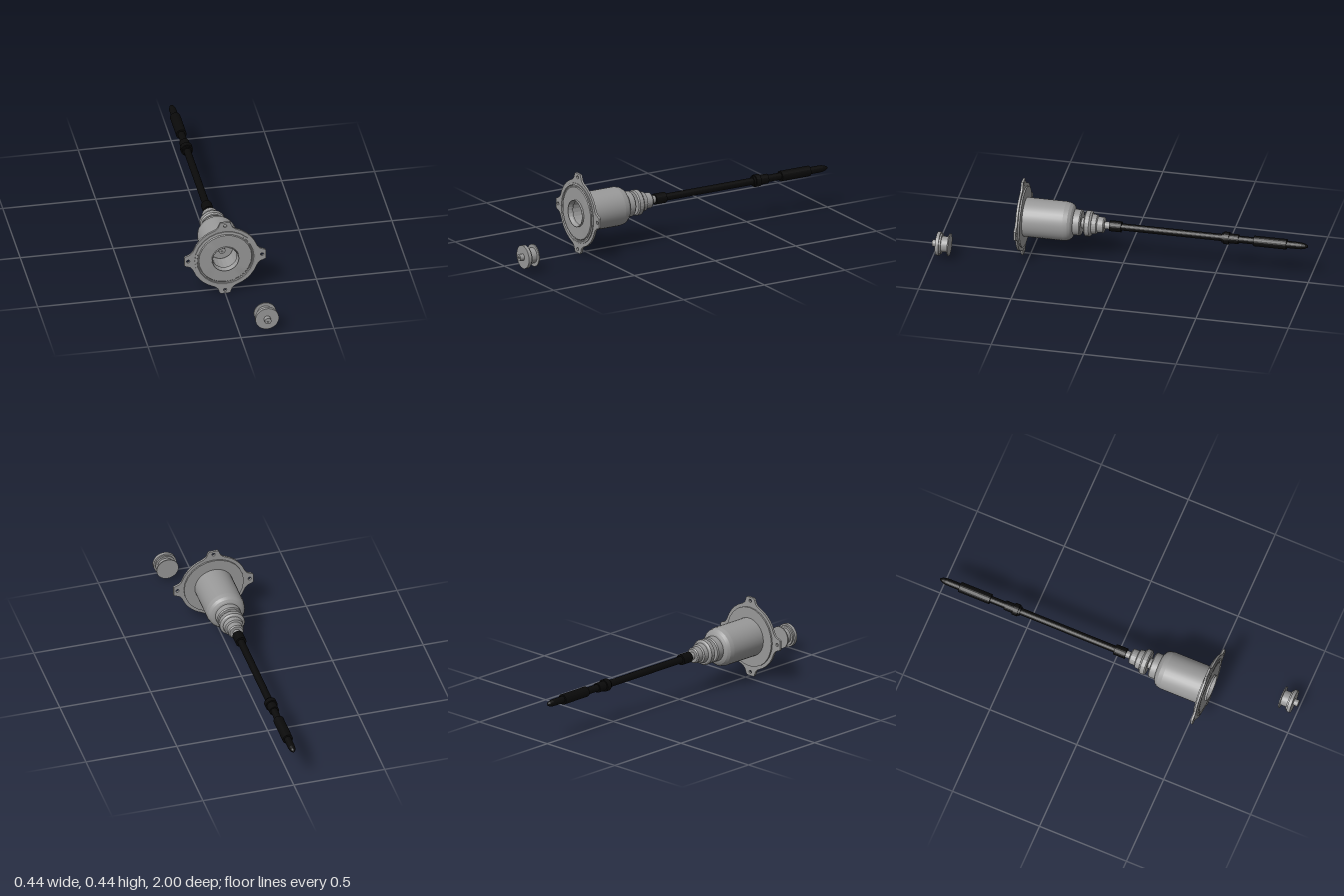
import * as THREE from 'three';
import { toCreasedNormals } from 'three/addons/utils/BufferGeometryUtils.js';

const AXIS_Y = 0.22;

export function createModel() {
  const grey = new THREE.MeshStandardMaterial({ color: 0x999999 });
  grey.name = 'metal grey';
  const black = new THREE.MeshStandardMaterial({ color: 0x0a0a0a });
  black.name = 'cable black';

  const model = new THREE.Group();

  // Turned part along z; profile is [radius, z] from back to front
  function turned(name, profile, material, sides = 24, x = 0, y = AXIS_Y) {
    const points = profile.map(([r, z]) => new THREE.Vector2(r, z));
    const geometry = new THREE.LatheGeometry(points, sides).rotateX(Math.PI / 2);
    const mesh = new THREE.Mesh(toCreasedNormals(geometry, 0.2), material);
    mesh.name = name;
    mesh.position.set(x, y, 0);
    model.add(mesh);
    return mesh;
  }

  // Mounting plate: round outline with four tapered ears
  const outline = [];
  for (let i = 0; i < 4; i++) {
    const a = i * Math.PI / 2;
    const ear = [[0.176, -0.052], [0.188, -0.039], [0.212, -0.030], [0.219, -0.025],
      [0.219, 0.025], [0.212, 0.030], [0.188, 0.039], [0.176, 0.052]];
    for (const [u, v] of ear) {
      outline.push(new THREE.Vector2(u * Math.cos(a) - v * Math.sin(a), u * Math.sin(a) + v * Math.cos(a)));
    }
    for (const d of [0.52, 0.70, 0.87, 1.05]) {
      outline.push(new THREE.Vector2(0.182 * Math.cos(a + d), 0.182 * Math.sin(a + d)));
    }
  }
  const plateShape = new THREE.Shape(outline);
  for (let i = 0; i < 4; i++) {
    const a = i * Math.PI / 2;
    const hole = new THREE.Path();
    hole.absarc(0.199 * Math.cos(a), 0.199 * Math.sin(a), 0.009, 0, Math.PI * 2, true);
    plateShape.holes.push(hole);
  }
  const centreHole = new THREE.Path();
  centreHole.absarc(0, 0, 0.1, 0, Math.PI * 2, true);
  plateShape.holes.push(centreHole);
  const plate = new THREE.Mesh(
    new THREE.ExtrudeGeometry(plateShape, { depth: 0.012, bevelEnabled: false, curveSegments: 10 }), grey);
  plate.name = 'mountingPlate';
  plate.position.set(0, AXIS_Y, 0.535);
  model.add(plate);

  // Raised face with seal groove, rim and open bore
  turned('flangeFace', [
    [0.1, 0.527], [0.164, 0.527], [0.164, 0.551], [0.154, 0.553], [0.151, 0.546], [0.147, 0.546],
    [0.142, 0.552], [0.073, 0.552], [0.073, 0.563], [0.071, 0.563], [0.0645, 0.545],
    [0.0645, 0.535], [0.078, 0.535], [0.078, 0.33], [0, 0.33],
  ], grey);

  // Housing with rounded shoulder
  turned('housing', [
    [0, 0.222], [0.064, 0.222], [0.069, 0.228], [0.069, 0.262], [0.078, 0.265], [0.09, 0.272],
    [0.1, 0.286], [0.105, 0.31], [0.105, 0.53],
  ], grey, 32);
  turned('neck', [[0.029, 0.19], [0.029, 0.225]], grey);

  // Stepped coupling behind the housing
  turned('coupling', [
    [0, 0.098], [0.036, 0.098], [0.042, 0.104], [0.042, 0.135], [0.051, 0.14], [0.054, 0.165],
    [0.062, 0.167], [0.069, 0.175], [0.069, 0.198], [0.062, 0.204], [0, 0.204],
  ], grey);
  turned('rod', [[0.02, 0.06], [0.02, 0.1]], grey);

  // Cable with sleeves and rounded end
  turned('cableBoot', [[0, 0.008], [0.029, 0.008], [0.029, 0.072], [0, 0.072]], black);
  turned('cable', [
    [0, -1], [0.006, -0.997], [0.013, -0.985], [0.018, -0.965], [0.019, -0.94], [0.019, 0.02],
  ], black);
  turned('cableCollar', [
    [0, -0.625], [0.026, -0.625], [0.026, -0.575], [0.033, -0.575],
    [0.033, -0.546], [0.026, -0.546], [0.026, -0.535], [0, -0.535],
  ], black);
  turned('endSleeve', [[0, -0.885], [0.028, -0.885], [0.028, -0.708], [0, -0.708]], black);

  // Spool-shaped plungers: one loose in front, one seated in the bore
  const spool = [
    [0, 0.906], [0.06, 0.906], [0.06, 0.912], [0.042, 0.912], [0.042, 0.948], [0.054, 0.948],
    [0.054, 0.957], [0.063, 0.957], [0.063, 0.975], [0.018, 0.975], [0.018, 1],
    [0.006, 1], [0.006, 0.994], [0, 0.994],
  ];
  turned('loosePlunger', spool, grey, 48, 0.146, 0.086);
  turned('seatedPlunger', spool, grey, 48, 0, 0.211).position.z = -0.54;

  return model;
}
